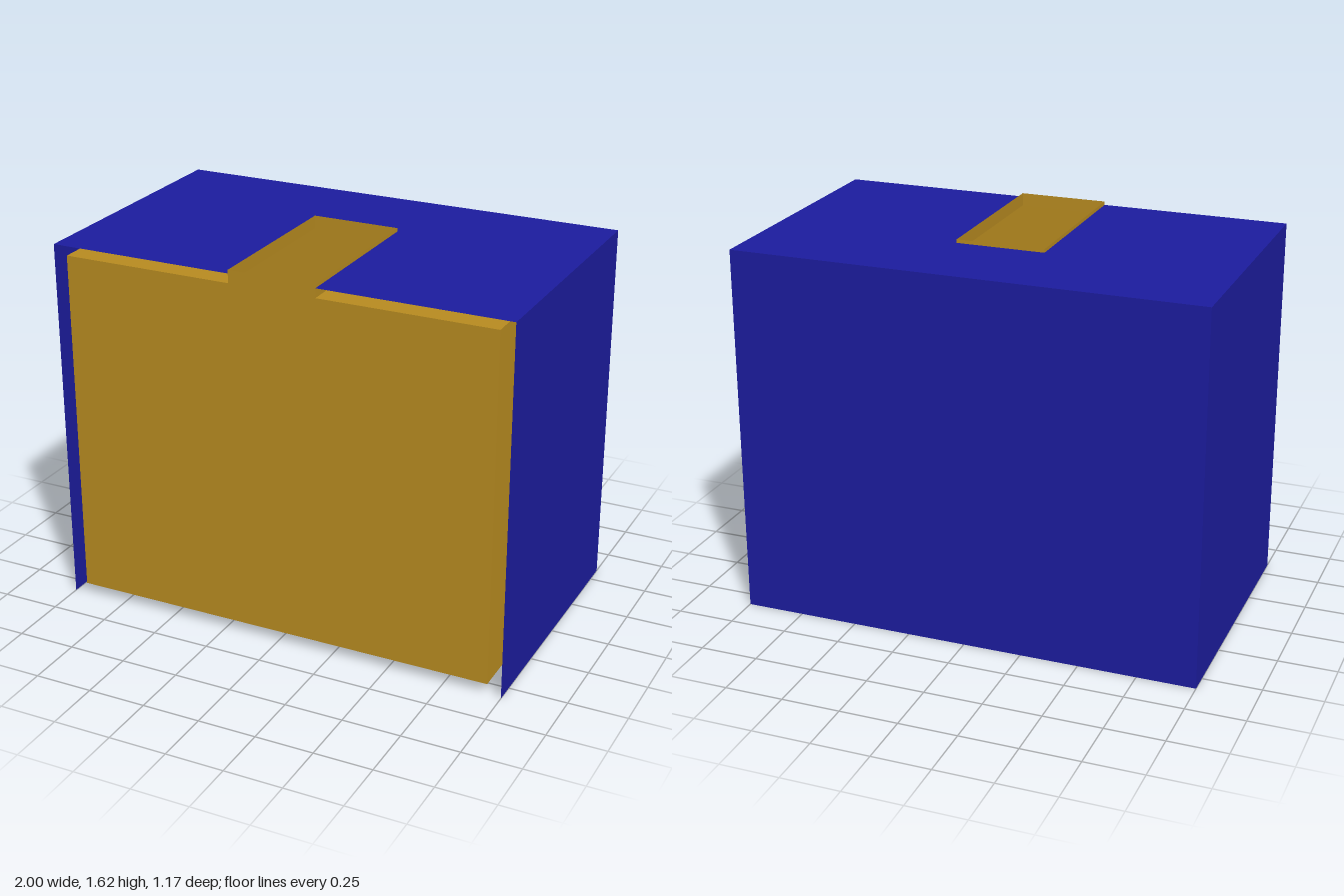
import * as THREE from 'three';

const FRONT = 0.585, BACK = -0.585;
const SLOT = { x0: -0.195, x1: 0.185, back: -0.17 };
const NECK_TOP = 1.615, INNER_TOP = 1.56, INNER_BOTTOM = 0.05, INNER_X = 0.94, INNER_BACK = -0.575;

// Flat panel outline from a few corner points
function panel(points) {
  return new THREE.ShapeGeometry(new THREE.Shape(points.map(([a, b]) => new THREE.Vector2(a, b))));
}

// Rectangle facing the front, at depth z
function frontPanel(x0, x1, y0, y1, z) {
  return panel([[x0, y0], [x1, y0], [x1, y1], [x0, y1]]).translate(0, 0, z);
}

// Rectangle facing +x, at position x
function sidePanel(z0, z1, y0, y1, x) {
  return panel([[-z1, y0], [-z0, y0], [-z0, y1], [-z1, y1]]).rotateY(Math.PI / 2).translate(x, 0, 0);
}

// Lid facing up, with the slot cut in from its front edge
function slottedTop(halfX, back, y) {
  return panel([
    [-halfX, -FRONT], [SLOT.x0, -FRONT], [SLOT.x0, -SLOT.back], [SLOT.x1, -SLOT.back],
    [SLOT.x1, -FRONT], [halfX, -FRONT], [halfX, -back], [-halfX, -back],
  ]).rotateX(-Math.PI / 2).translate(0, y, 0);
}

export function createModel() {
  const model = new THREE.Group();
  const blue = new THREE.MeshStandardMaterial({ color: 0x1c1c9e, side: THREE.DoubleSide });
  const gold = new THREE.MeshStandardMaterial({ color: 0xb88b20, side: THREE.DoubleSide });

  function group(name) {
    const g = new THREE.Group();
    g.name = name;
    model.add(g);
    return g;
  }
  function add(parent, name, geometry, material) {
    const mesh = new THREE.Mesh(geometry, material);
    mesh.name = name;
    parent.add(mesh);
  }

  // Outer cover, open at the front and bottom
  const cover = group('outerCover');
  add(cover, 'coverTop', slottedTop(1, BACK, 1.6), blue);
  add(cover, 'coverBack', frontPanel(-1, 1, 0, 1.6, BACK), blue);
  for (const [side, s] of [['Left', 1], ['Right', -1]]) {
    add(cover, 'cover' + side, sidePanel(BACK, FRONT, 0, 1.6, s), blue);
  }

  // Hollow inner box; its front rises into the neck
  const box = group('innerBox');
  add(box, 'boxFront', panel([
    [-INNER_X, INNER_BOTTOM], [INNER_X, INNER_BOTTOM], [INNER_X, INNER_TOP], [SLOT.x1, INNER_TOP],
    [SLOT.x1, NECK_TOP], [SLOT.x0, NECK_TOP], [SLOT.x0, INNER_TOP], [-INNER_X, INNER_TOP],
  ]).translate(0, 0, FRONT), gold);
  add(box, 'boxBack', frontPanel(-INNER_X, INNER_X, INNER_BOTTOM, INNER_TOP, INNER_BACK), gold);
  add(box, 'boxTop', slottedTop(INNER_X, INNER_BACK, INNER_TOP), gold);
  add(box, 'boxBottom', new THREE.PlaneGeometry(2 * INNER_X, FRONT - INNER_BACK)
    .rotateX(Math.PI / 2).translate(0, INNER_BOTTOM, (FRONT + INNER_BACK) / 2), gold);
  for (const [side, s] of [['Left', 1], ['Right', -1]]) {
    add(box, 'box' + side, sidePanel(INNER_BACK, FRONT, INNER_BOTTOM, INNER_TOP, s * INNER_X), gold);
  }

  // Thin collar around the slot, passing through the cover
  const neck = group('slotNeck');
  add(neck, 'neckBack', frontPanel(SLOT.x0, SLOT.x1, INNER_TOP, NECK_TOP, SLOT.back), gold);
  add(neck, 'neckLeft', sidePanel(SLOT.back, FRONT, INNER_TOP, NECK_TOP, SLOT.x1), gold);
  add(neck, 'neckRight', sidePanel(SLOT.back, FRONT, INNER_TOP, NECK_TOP, SLOT.x0), gold);

  return model;
}
